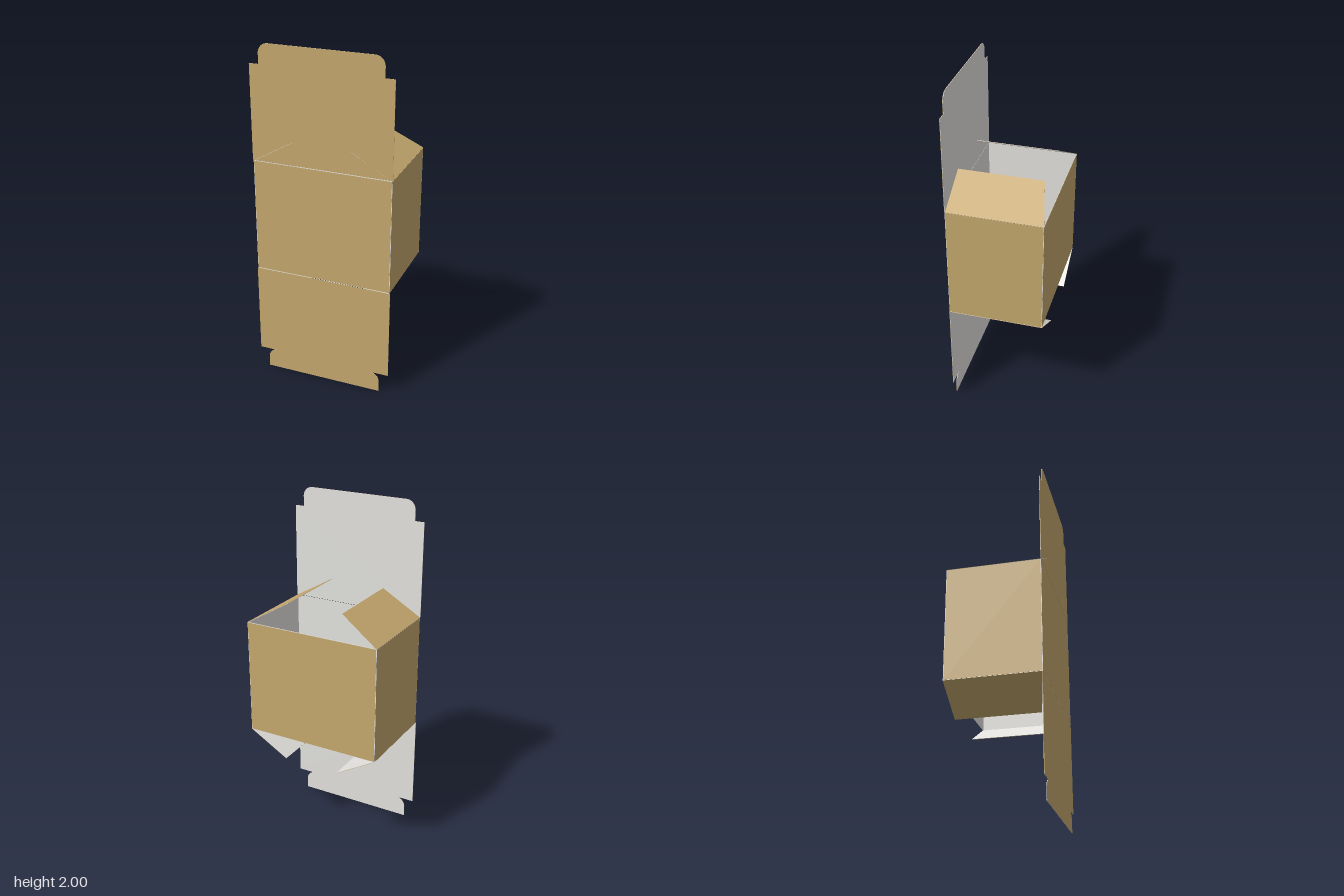
import * as THREE from 'three';

const W = 0.404;            // half width of the carton
const D = 0.27;             // half depth
const Y0 = 0.667, Y1 = 1.338; // bottom and top fold lines
const MID = (Y0 + Y1) / 2, H = (Y1 - Y0) / 2;
const T = 0.0015;           // thickness of each card layer

export function createModel() {
  const kraft = new THREE.MeshStandardMaterial({ color: 0xc4a76d });
  kraft.name = 'kraft card';
  const lining = new THREE.MeshStandardMaterial({ color: 0xe2e1dd });
  lining.name = 'pale lining';

  const model = new THREE.Group();
  model.name = 'openCarton';

  // A card panel: kraft layer outside, pale layer inside, outer face at local z = 0
  function card(name, outer, inner = outer) {
    const group = new THREE.Group();
    group.name = name;
    [[outer, kraft, 'Outside', -T], [inner, lining, 'Inside', -2 * T]].forEach(([shape, mat, suffix, z]) => {
      const geo = new THREE.ExtrudeGeometry(shape, { depth: T, bevelEnabled: false, curveSegments: 10 });
      const mesh = new THREE.Mesh(geo.translate(0, 0, z), mat);
      mesh.name = name + suffix;
      group.add(mesh);
    });
    return group;
  }

  const poly = pts => new THREE.Shape(pts.map(p => new THREE.Vector2(...p)));
  const rect = (w, h) => poly([[-w, -h], [w, -h], [w, h], [-w, h]]);
  // Wall whose kraft layer stops just short of the folds
  const wall = (name, w) => card(name, rect(w - 0.003, H - 0.003), rect(w, H));

  // Front and back walls
  const front = wall('frontWall', W);
  front.position.set(0, MID, D);
  const back = wall('backWall', W);
  back.position.set(0, MID, -D);
  back.rotation.y = Math.PI;
  model.add(front, back);

  // Side walls, each with a tapered dust flap folded inward at top and bottom
  for (const s of [1, -1]) {
    const side = s > 0 ? 'left' : 'right';
    const panel = wall(side + 'Wall', D);
    panel.position.set(s * W, MID, 0);
    panel.rotation.y = s * Math.PI / 2;

    for (const v of [1, -1]) {
      const L = 0.271, slant = 0.056;
      const e = s * v; // end with the slanted edge: back for top flaps, front for bottom
      const flap = card(side + (v > 0 ? 'TopFlap' : 'BottomFlap'),
        poly([[-e * D, 0], [e * D, 0], [e * (D - slant), v * L], [-e * D, v * L]]));
      flap.position.y = v * H;
      flap.rotation.x = -v * Math.PI / 3;
      panel.add(flap);
    }
    model.add(panel);
  }

  // Top lid with a rounded tuck tab
  const LW = 0.407, TW = 0.352, R = 0.056;
  const top = new THREE.Shape();
  top.moveTo(-LW, Y1 + 0.002);
  top.lineTo(LW, Y1 + 0.002);
  top.lineTo(LW, 1.885);
  top.lineTo(TW, 1.885);
  top.absarc(TW - R, 2 - R, R, 0, Math.PI / 2);
  top.absarc(-TW + R, 2 - R, R, Math.PI / 2, Math.PI);
  top.lineTo(-TW, 1.885);
  top.lineTo(-LW, 1.885);

  // Bottom lid, its tab rounded where it meets the lid
  const bottom = new THREE.Shape();
  bottom.moveTo(-LW, Y0 - 0.002);
  bottom.lineTo(-LW, 0.12);
  bottom.lineTo(-TW + R, 0.12);
  bottom.absarc(-TW + R, 0.12 - R, R, Math.PI / 2, Math.PI);
  bottom.lineTo(-TW, 0);
  bottom.lineTo(TW, 0);
  bottom.absarc(TW - R, 0.12 - R, R, 0, Math.PI / 2);
  bottom.lineTo(LW, 0.12);
  bottom.lineTo(LW, Y0 - 0.002);

  const topLid = card('topLid', top);
  const bottomLid = card('bottomLid', bottom);
  topLid.position.z = bottomLid.position.z = D;
  model.add(topLid, bottomLid);

  return model;
}
